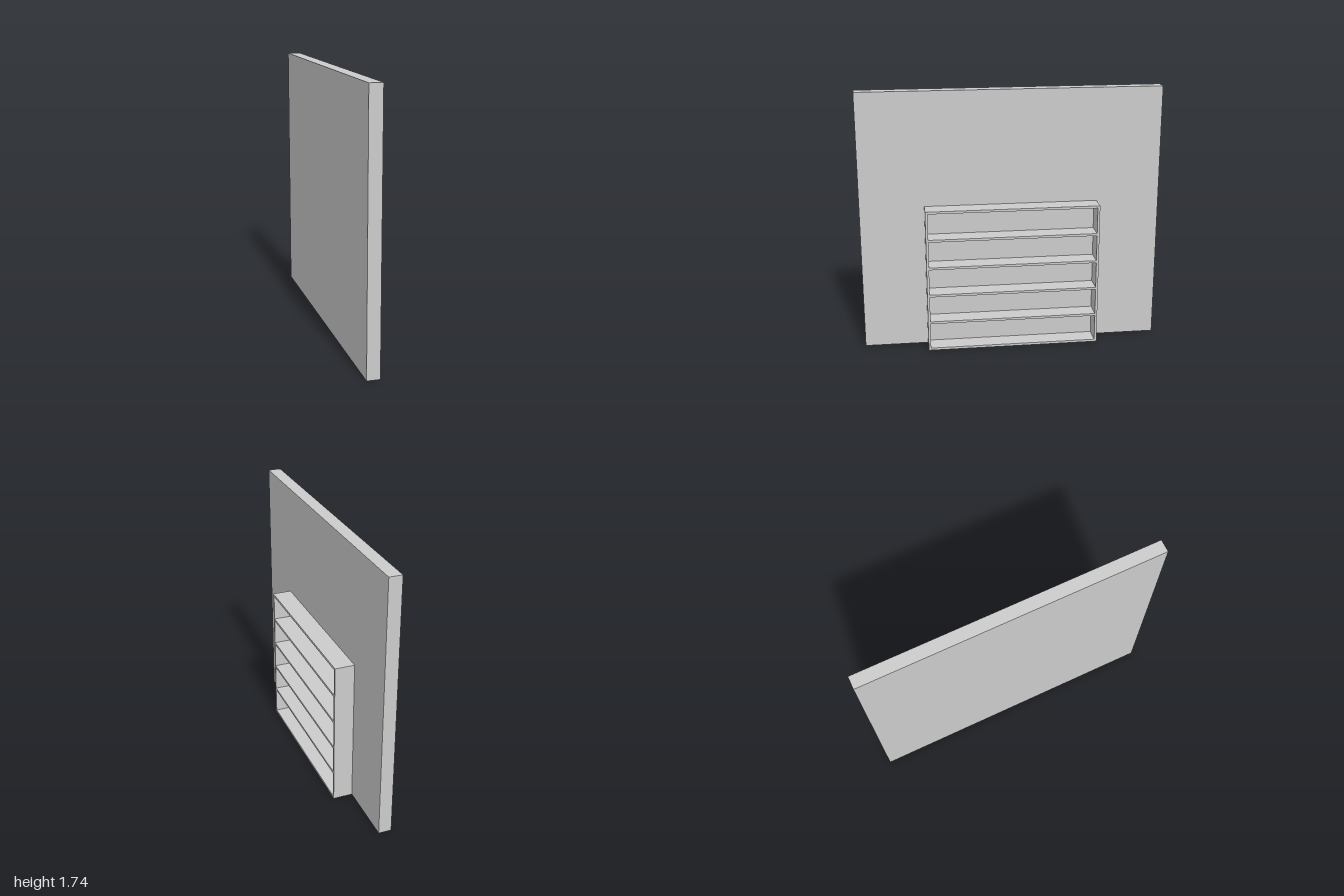
import * as THREE from 'three';

export function createModel() {
  const group = new THREE.Group();
  const material = new THREE.MeshStandardMaterial({ color: 0xcccccc, flatShading: true });

  // Box given by its minimum and maximum corners
  function addBox(name, parent, [x0, y0, z0], [x1, y1, z1]) {
    const mesh = new THREE.Mesh(new THREE.BoxGeometry(x1 - x0, y1 - y0, z1 - z0), material);
    mesh.position.set((x0 + x1) / 2, (y0 + y1) / 2, (z0 + z1) / 2);
    mesh.name = name;
    parent.add(mesh);
  }

  const wallFront = -0.022, depthEnd = 0.107;
  const height = 0.976, halfWidth = 0.576, board = 0.016;

  // Wall slab
  addBox('wall', group, [-0.107, 0, -1], [wallFront, 1.739, 1]);

  // Open bookcase standing against the wall
  const bookcase = new THREE.Group();
  bookcase.name = 'bookcase';
  group.add(bookcase);

  // Side panels
  const inner = halfWidth - board;
  addBox('leftSidePanel', bookcase, [wallFront, 0, -halfWidth], [depthEnd, height, -inner]);
  addBox('rightSidePanel', bookcase, [wallFront, 0, inner], [depthEnd, height, halfWidth]);

  // Bottom, four shelves and top, evenly spaced
  const bays = 5;
  for (let i = 0; i <= bays; i++) {
    const y = (i * (height - board)) / bays;
    const name = i === 0 ? 'bottomBoard' : i === bays ? 'topBoard' : `shelf${i}`;
    addBox(name, bookcase, [wallFront, y, -inner], [depthEnd, y + board, inner]);
  }

  return group;
}
